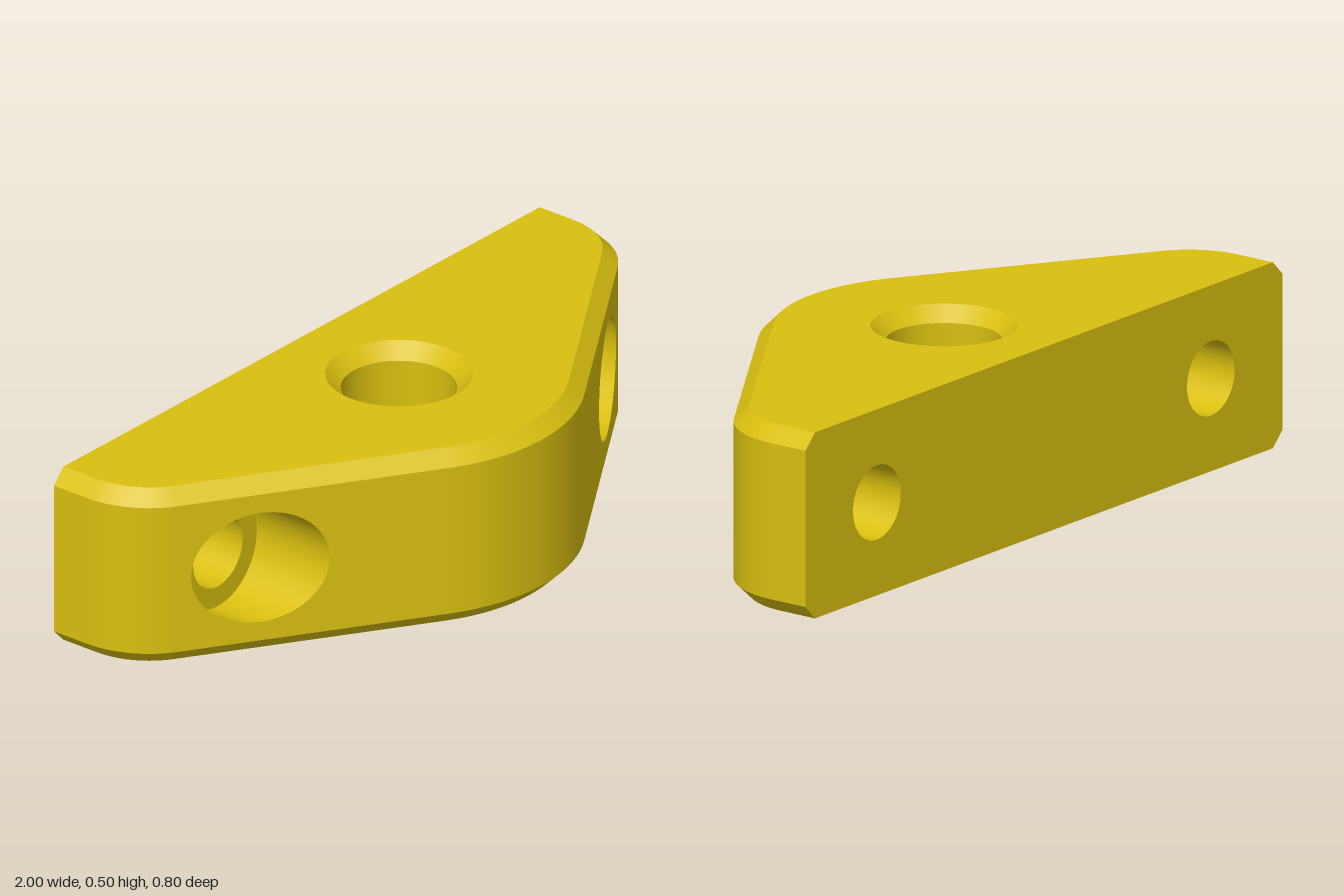
import * as THREE from 'three';

const H = 0.5, BEVEL = 0.04, BACK = -0.4, SEG = 64;
const NOSE_R = 0.5, NOSE_Z = -0.1;           // rounded front
const CORNER_R = 0.25, CORNER_X = 0.75;      // rounded side corners
const THETA = Math.atan(0.648);              // slope of the angled walls
const CORNER_Z = NOSE_Z + (NOSE_R - CORNER_R - CORNER_X * Math.sin(THETA)) / Math.cos(THETA);
const BORE_Z = -0.075, SCREW_X = 0.7, SCREW_Y = 0.25, SEAT_R = 0.157, SCREW_R = 0.1, SEAT_Z = -0.1;

// z of the angled wall at a given x
const slopeZ = (x) => NOSE_Z + (NOSE_R - Math.abs(x) * Math.sin(THETA)) / Math.cos(THETA);

// outline points with their outward normals
function arc(cx, cz, r, from, to, n) {
  return Array.from({ length: n + 1 }, (_, i) => {
    const a = from + (to - from) * i / n, nx = Math.sin(a), nz = Math.cos(a);
    return { x: cx + r * nx, z: cz + r * nz, nx, nz };
  });
}

// strip between two levels; each level is [y, inset], tilt is the normal's y part
function strip(points, low, high, tilt) {
  const pos = [], nor = [], idx = [], flat = Math.sqrt(1 - tilt * tilt);
  points.forEach((p, i) => {
    for (const [y, inset] of [low, high]) {
      pos.push(p.x - p.nx * inset, y, p.z - p.nz * inset);
      nor.push(p.nx * flat, tilt, p.nz * flat);
    }
    if (i) {
      const a = 2 * i - 2;
      idx.push(a, a + 1, a + 2, a + 1, a + 3, a + 2);
    }
  });
  const g = new THREE.BufferGeometry();
  g.setAttribute('position', new THREE.Float32BufferAttribute(pos, 3));
  g.setAttribute('normal', new THREE.Float32BufferAttribute(nor, 3));
  g.setIndex(idx);
  return g;
}

// flat plate from 2D points with round holes [x, y, r]
function plate(points, holes) {
  const shape = new THREE.Shape(points.map(([x, y]) => new THREE.Vector2(x, y)));
  for (const [x, y, r] of holes) {
    shape.holes.push(new THREE.Path().absarc(x, y, r, 0, Math.PI * 2, true));
  }
  return new THREE.ShapeGeometry(shape, SEG / 2);
}

// one ring of a hole's inside, listed from top to bottom so it faces inward
const ring = (r1, y1, r2, y2) =>
  new THREE.LatheGeometry([new THREE.Vector2(r1, y1), new THREE.Vector2(r2, y2)], SEG);

export function createModel() {
  const model = new THREE.Group();
  const yellow = new THREE.MeshStandardMaterial({ color: 0xd9bf10, side: THREE.DoubleSide });
  yellow.name = 'yellow';
  const add = (name, geometry) => {
    const mesh = new THREE.Mesh(geometry, yellow);
    mesh.name = name;
    model.add(mesh);
    return mesh;
  };

  // outline from the left back corner round the front to the right back corner
  const left = [{ x: 1, z: BACK, nx: 1, nz: 0 },
    ...arc(CORNER_X, CORNER_Z, CORNER_R, Math.PI / 2, THETA, 16)];
  const nose = arc(0, NOSE_Z, NOSE_R, THETA, -THETA, 32);
  const right = left.map((p) => ({ ...p, x: -p.x, nx: -p.nx })).reverse();
  const outline = [...left, ...nose, ...right];

  // upright walls and bevels
  const bottom = [BEVEL, 0], top = [H - BEVEL, 0];
  add('leftWall', strip(left, bottom, top, 0));
  add('noseWall', strip(nose, bottom, top, 0));
  add('rightWall', strip(right, bottom, top, 0));
  add('topBevel', strip(outline, top, [H, BEVEL], Math.SQRT1_2));
  add('bottomBevel', strip(outline, [0, BEVEL], bottom, -Math.SQRT1_2));

  // top and bottom faces
  const inset = outline.map((p) => [p.x - p.nx * BEVEL, p.z - p.nz * BEVEL]);
  add('topFace', plate(inset.map(([x, z]) => [x, -z]), [[0, -BORE_Z, 0.19]])
    .rotateX(-Math.PI / 2).translate(0, H, 0));
  add('bottomFace', plate(inset, [[0, BORE_Z, 0.3]]).rotateX(Math.PI / 2));

  // back face
  const b = 1 - BEVEL;
  add('backFace', plate(
    [[-b, 0], [b, 0], [1, BEVEL], [1, H - BEVEL], [b, H], [-b, H], [-1, H - BEVEL], [-1, BEVEL]],
    [[SCREW_X, SCREW_Y, SCREW_R], [-SCREW_X, SCREW_Y, SCREW_R]]
  ).rotateY(Math.PI).translate(0, 0, BACK));

  // central stepped bore
  const bore = [[0.19, H], [0.15, H - 0.04], [0.15, 0.25], [0.26, 0.25], [0.26, 0.04], [0.3, 0]];
  for (let i = 1; i < bore.length; i++) {
    add('centralBore', ring(...bore[i - 1], ...bore[i])).position.z = BORE_Z;
  }

  // angled walls and their counterbored screw holes
  for (const s of [1, -1]) {
    const x0 = s * NOSE_R * Math.sin(THETA), x1 = s * (CORNER_X + CORNER_R * Math.sin(THETA));
    const [a, c] = s > 0 ? [x0, x1] : [x1, x0];
    const wall = plate([[a, BEVEL], [c, BEVEL], [c, H - BEVEL], [a, H - BEVEL]],
      [[s * SCREW_X, SCREW_Y, SEAT_R]]);
    const wp = wall.attributes.position;
    for (let i = 0; i < wp.count; i++) wp.setZ(i, slopeZ(wp.getX(i)));
    wall.computeVertexNormals();
    add('angledWall', wall);

    // the counterbore ends flush with the angled wall
    const seat = ring(SEAT_R, 1, SEAT_R, SEAT_Z).rotateX(Math.PI / 2).translate(s * SCREW_X, SCREW_Y, 0);
    const sp = seat.attributes.position;
    for (let i = 0; i < sp.count; i++) if (sp.getZ(i) > 0.5) sp.setZ(i, slopeZ(sp.getX(i)));
    add('counterbore', seat);
    add('counterboreFloor', new THREE.RingGeometry(SCREW_R, SEAT_R, SEG)
      .translate(s * SCREW_X, SCREW_Y, SEAT_Z));
    add('screwHole', ring(SCREW_R, SEAT_Z, SCREW_R, BACK).rotateX(Math.PI / 2)
      .translate(s * SCREW_X, SCREW_Y, 0));
  }
  return model;
}
